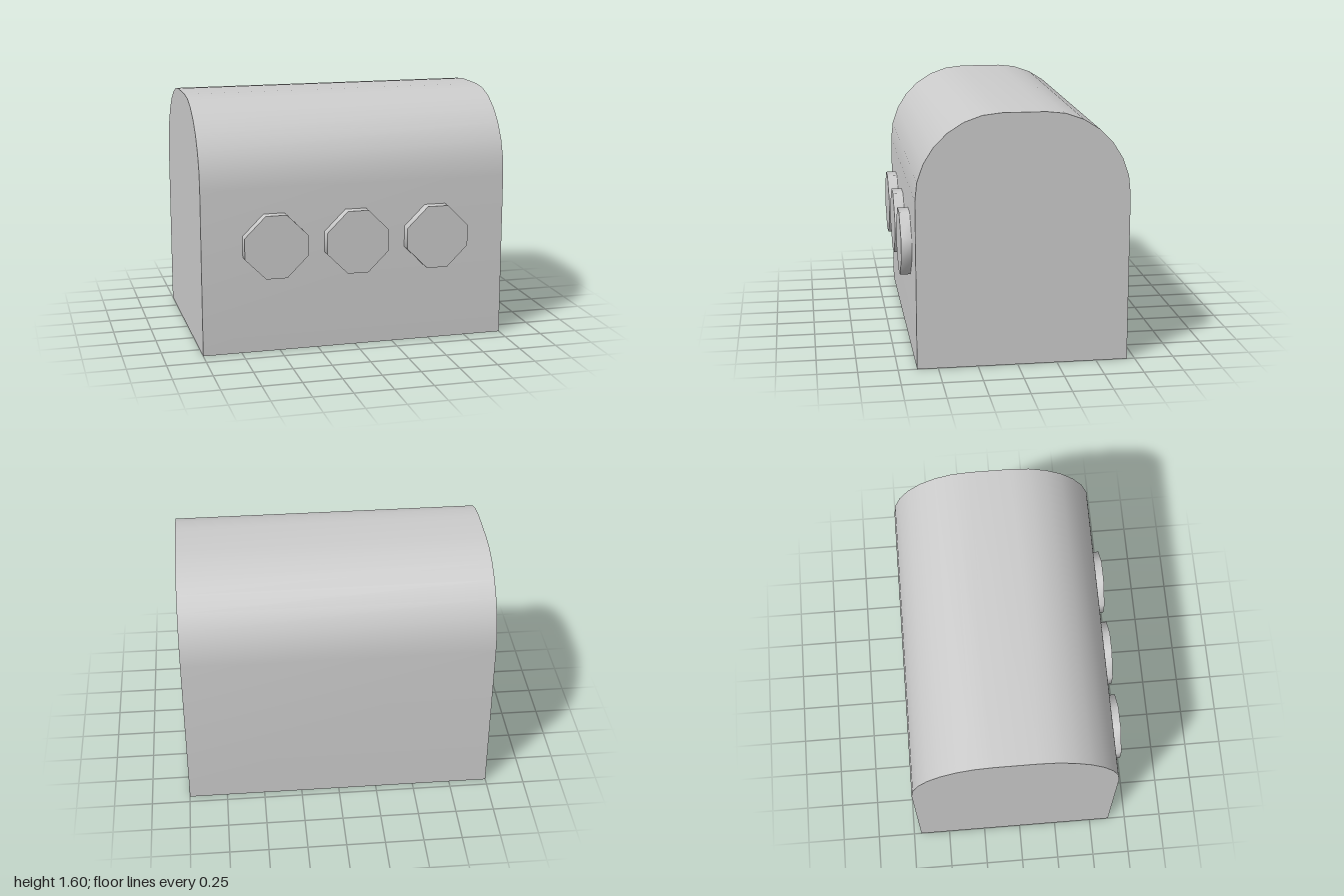
import * as THREE from 'three';
import { toCreasedNormals } from 'three/addons/utils/BufferGeometryUtils.js';

const grey = new THREE.MeshStandardMaterial({ color: 0xcccccc });

function extrude(points, depth, crease) {
  const geometry = new THREE.ExtrudeGeometry(new THREE.Shape(points), { depth, bevelEnabled: false });
  return toCreasedNormals(geometry, crease);
}

// Upright block with its two upper long edges rounded, running along x
function makeBody() {
  const back = -0.7, front = 0.632, height = 1.6, radius = 0.53, steps = 7;
  const points = [new THREE.Vector2(back, 0), new THREE.Vector2(front, 0)];
  const corners = [[front - radius, 0], [back + radius, Math.PI / 2]];
  for (const [centre, start] of corners) {
    for (let i = 0; i <= steps; i++) {
      const a = start + (i / steps) * Math.PI / 2;
      points.push(new THREE.Vector2(centre + radius * Math.cos(a), height - radius + radius * Math.sin(a)));
    }
  }
  const geometry = extrude(points, 2, 0.6);
  geometry.translate(0, 0, -1).rotateY(-Math.PI / 2);
  const body = new THREE.Mesh(geometry, grey);
  body.name = 'body';
  return body;
}

// Square button with each corner cut off by a third of its width
function makeButtonGeometry() {
  const outer = 0.204, inner = outer / 3;
  const points = [];
  for (let i = 0; i < 4; i++) {
    const turn = i * Math.PI / 2, origin = new THREE.Vector2();
    points.push(new THREE.Vector2(outer, -inner).rotateAround(origin, turn));
    points.push(new THREE.Vector2(outer, inner).rotateAround(origin, turn));
  }
  return extrude(points, 0.078, 0.9);
}

export function createModel() {
  const model = new THREE.Group();
  model.name = 'archedBox';
  model.add(makeBody());

  // Row of three front buttons, set slightly into the face
  const buttonGeometry = makeButtonGeometry();
  ['rightButton', 'middleButton', 'leftButton'].forEach((name, i) => {
    const button = new THREE.Mesh(buttonGeometry, grey);
    button.name = name;
    button.position.set((i - 1) * 0.532, 0.7, 0.622);
    model.add(button);
  });
  return model;
}
